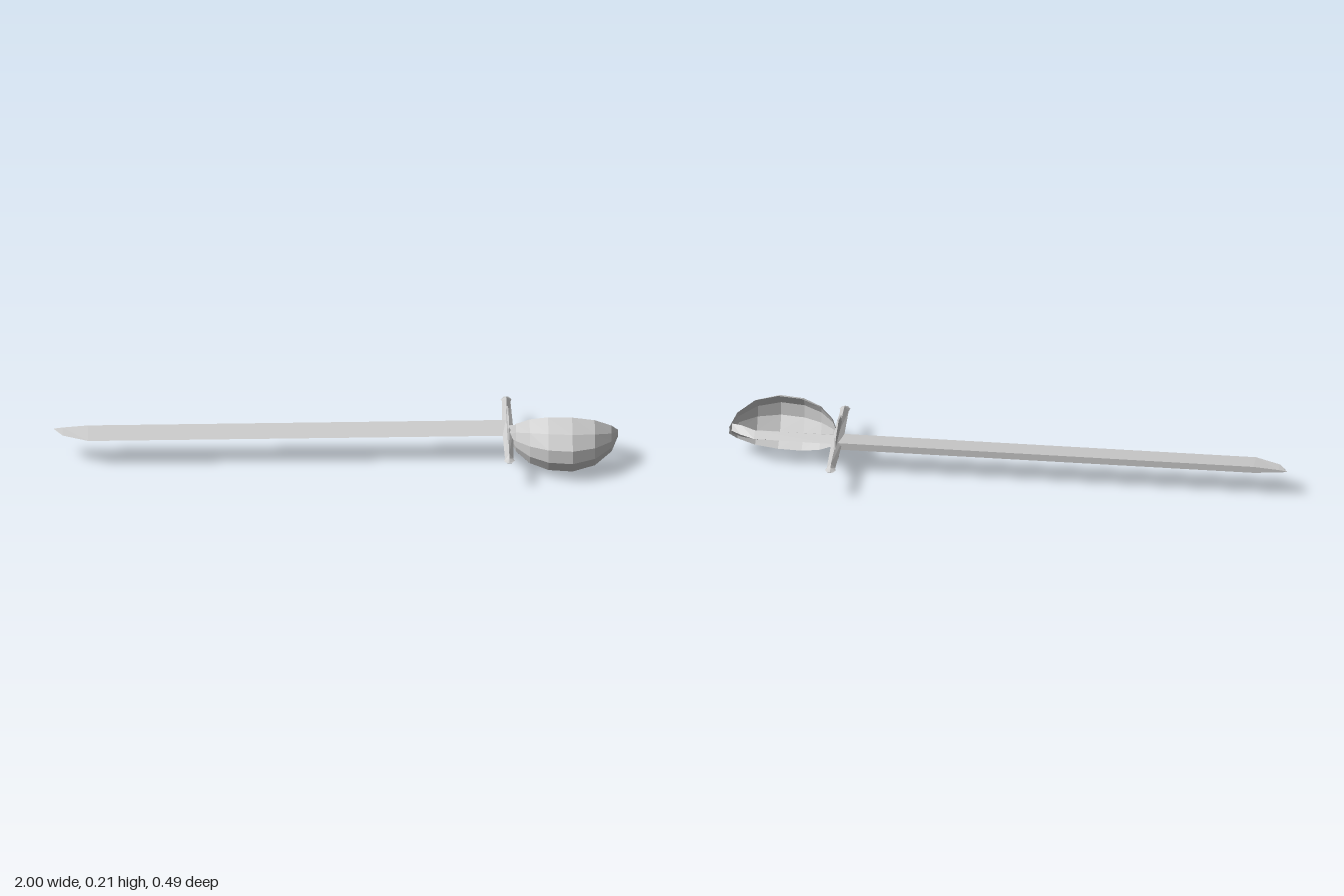
import * as THREE from 'three';

const MID = 0.111; // height of the sword's centre plane

// Joins cross-sections running along +x; each is a list of [x, y, z]
function loft(sections, closed = true) {
  const pos = [];
  const tri = (a, b, c) => pos.push(...a, ...b, ...c);
  const n = sections[0].length;
  for (let s = 0; s < sections.length - 1; s++) {
    const a = sections[s], b = sections[s + 1];
    for (let i = 0; i < (closed ? n : n - 1); i++) {
      const j = (i + 1) % n;
      tri(a[i], a[j], b[j]);
      tri(a[i], b[j], b[i]);
    }
  }
  if (closed) {
    const a = sections[0], b = sections[sections.length - 1];
    for (let i = 1; i < n - 1; i++) {
      tri(a[0], a[i + 1], a[i]);
      tri(b[0], b[i], b[i + 1]);
    }
  }
  const g = new THREE.BufferGeometry();
  g.setAttribute('position', new THREE.Float32BufferAttribute(pos, 3));
  g.computeVertexNormals();
  return g;
}

// Diamond cross-section: centre z, half height, half depth
const diamond = (x, z, hy, hz) => [[x, hy, z], [x, 0, z + hz], [x, -hy, z], [x, 0, z - hz]];

export function createModel() {
  const group = new THREE.Group();
  const solid = new THREE.MeshStandardMaterial({ color: 0xcccccc, flatShading: true });
  const thin = new THREE.MeshStandardMaterial({ color: 0xcccccc, flatShading: true, side: THREE.DoubleSide });
  const add = (name, geometry, material, x = 0) => {
    const mesh = new THREE.Mesh(geometry, material);
    mesh.name = name;
    mesh.position.set(x, MID, 0);
    group.add(mesh);
  };

  // Wedge blade: flat spine at the back, cutting edge at the front, swept tip
  const blade = [
    [-1, -0.048, 0.001], [-0.97, 0, 0.005], [-0.88, 0.042, 0.012], [0.605, 0.042, 0.013],
  ].map(([x, edge, hy]) => [[x, hy, -0.05], [x, 0, edge], [x, -hy, -0.05]]);
  add('blade', loft(blade), solid);

  // Cross bar with slightly flared, pointed ends
  const bar = [
    [-0.243, 0.001, 0.009], [-0.225, 0.01, 0.019], [-0.208, 0.018, 0.015], [0, 0.018, 0.02],
    [0.208, 0.018, 0.015], [0.225, 0.01, 0.019], [0.243, 0.001, 0.009],
  ].map(([x, hy, hz]) => diamond(x, 0, hy, hz));
  add('crossGuard', loft(bar).rotateY(Math.PI / 2), solid, 0.605);

  // Thin faceted plate between blade and handle
  const plate = new THREE.Shape([
    [0, 0.075], [0.083, 0.052], [0.107, 0], [0.083, -0.052],
    [0, -0.075], [-0.083, -0.052], [-0.107, 0], [-0.083, 0.052],
  ].map(([x, y]) => new THREE.Vector2(x, y)));
  const plateGeometry = new THREE.ExtrudeGeometry(plate, { depth: 0.006, bevelEnabled: false });
  add('guardPlate', plateGeometry.rotateY(Math.PI / 2), solid, 0.602);

  // Handle, bending towards the hand guard at the pommel
  const handle = [
    [0.605, -0.002, 0.018, 0.034], [0.9, 0, 0.018, 0.031],
    [0.95, 0.022, 0.023, 0.028], [0.985, 0.036, 0.02, 0.017],
  ].map(([x, z, hy, hz]) => diamond(x, z, hy, hz));
  add('handle', loft(handle), solid);

  // Open basket: [x, rim z, outer z, half height]
  const arc = [[1, 0], [0.69, 0.66], [0.235, 1], [-0.235, 1], [-0.69, 0.66], [-1, 0]];
  const basket = [
    [0.61, 0.03, 0.045, 0.012], [0.632, 0.05, 0.1, 0.055], [0.68, 0.078, 0.155, 0.088],
    [0.745, 0.095, 0.193, 0.105], [0.83, 0.103, 0.205, 0.107], [0.91, 0.093, 0.175, 0.09],
    [0.97, 0.065, 0.11, 0.052], [0.995, 0.025, 0.035, 0.012],
  ].map(([x, rim, out, hy]) => arc.map(([v, w]) => [x, v * hy - 0.003, rim + w * (out - rim)]));
  add('handGuard', loft(basket, false), thin);

  return group;
}
